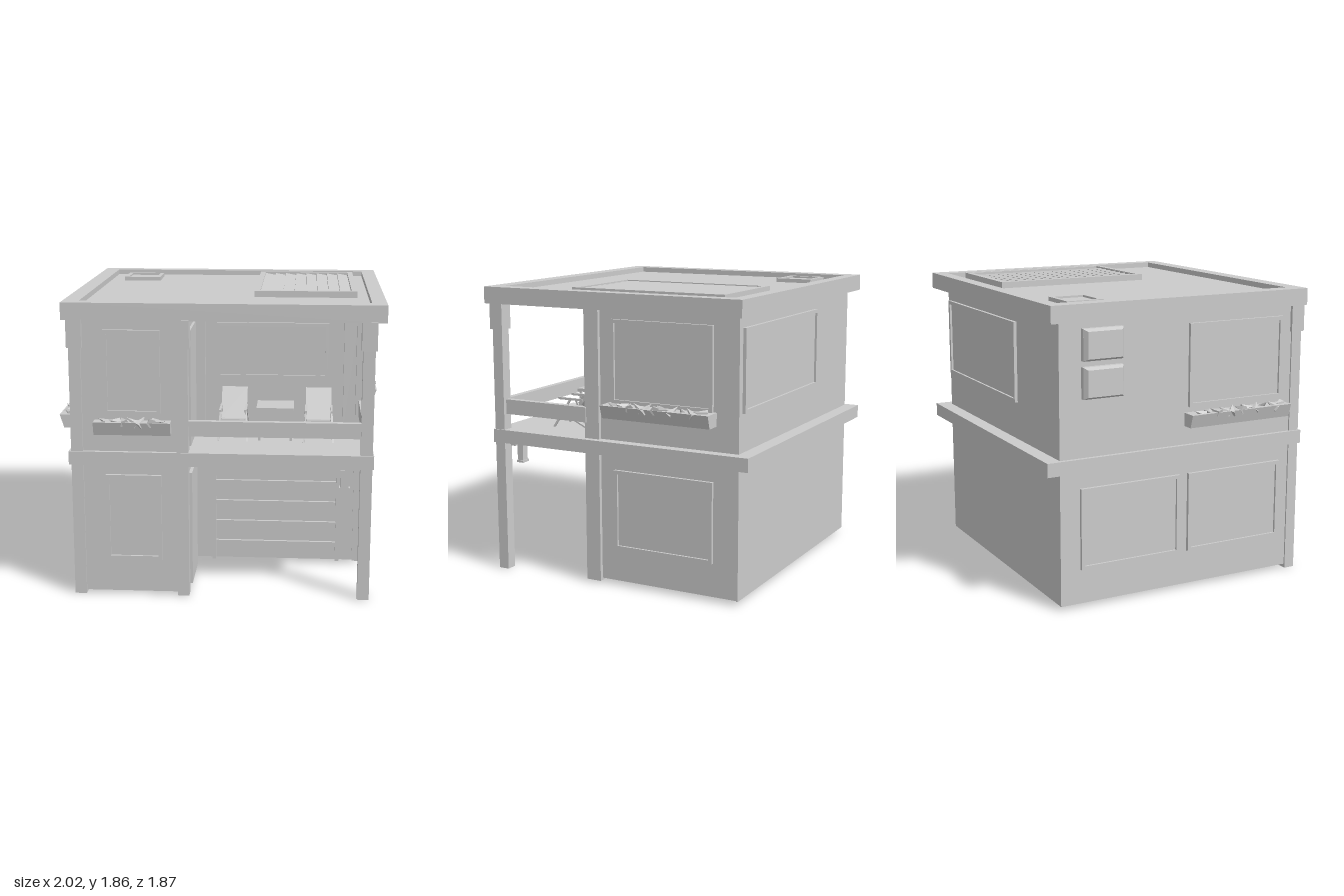
import * as THREE from 'three';

const grey = new THREE.MeshStandardMaterial({ color: 0xcccccc, flatShading: true, side: THREE.DoubleSide });

function add(parent, name, geometry) {
  const mesh = new THREE.Mesh(geometry, grey);
  mesh.name = name;
  parent.add(mesh);
  return mesh;
}

// Box given by its limits on each axis
function box(parent, name, x0, x1, y0, y1, z0, z1) {
  const mesh = add(parent, name, new THREE.BoxGeometry(x1 - x0, y1 - y0, z1 - z0));
  mesh.position.set((x0 + x1) / 2, (y0 + y1) / 2, (z0 + z1) / 2);
  return mesh;
}

// Rectangular ring in the xy plane, extruded along +z
function ring(w, h, border, depth) {
  const rect = (C, a, b) => new C([[-a, -b], [a, -b], [a, b], [-a, b]].map(p => new THREE.Vector2(...p)));
  const shape = rect(THREE.Shape, w / 2, h / 2);
  shape.holes.push(rect(THREE.Path, w / 2 - border, h / 2 - border));
  return new THREE.ExtrudeGeometry(shape, { depth, bevelEnabled: false });
}

// Group sitting on a wall, its local +z pointing outwards
function onWall(parent, name, face, wall, u, y) {
  const g = new THREE.Group();
  g.name = name;
  if (face === 'front' || face === 'back') g.position.set(u, y, wall);
  else g.position.set(wall, y, u);
  g.rotation.y = { front: 0, back: Math.PI, left: Math.PI / 2, right: -Math.PI / 2 }[face];
  parent.add(g);
  return g;
}

function addWindow(parent, face, wall, u0, u1, y0, y1) {
  const g = onWall(parent, 'window', face, wall, (u0 + u1) / 2, (y0 + y1) / 2);
  const w = u1 - u0, h = y1 - y0;
  add(g, 'windowFrame', ring(w, h, 0.023, 0.02));
  box(g, 'windowPane', -w / 2 + 0.02, w / 2 - 0.02, -h / 2 + 0.02, h / 2 - 0.02, 0, 0.006);
}

// Flower box: tapered trough with a row of faceted leaves
function addPlanter(parent, face, wall, u0, u1, y0, d) {
  const g = onWall(parent, 'flowerBox', face, wall, (u0 + u1) / 2, y0);
  const L = u1 - u0;
  const profile = new THREE.Shape([[0, 0], [d - 0.026, 0], [d, 0.083], [0, 0.083]].map(p => new THREE.Vector2(...p)));
  const trough = new THREE.ExtrudeGeometry(profile, { depth: L, bevelEnabled: false });
  trough.rotateY(-Math.PI / 2).translate(L / 2, 0, 0);
  add(g, 'trough', trough);
  const n = Math.round(L / 0.065);
  for (let i = 0; i < n; i++) {
    const leaf = add(g, 'leaf', new THREE.ConeGeometry(0.03, 0.08, 5));
    leaf.position.set((i + 0.5) / n * (L - 0.08) - L / 2 + 0.04, 0.086, d - 0.038 + 0.006 * Math.sin(i * 2.3));
    leaf.rotation.set(0, i, 1.15 * Math.sign(Math.sin(i * 1.7 + 0.6)) + 0.3 * Math.sin(i * 2.9));
  }
}

// Thin square bar between two points
function bar(parent, name, a, b, t) {
  const p = new THREE.Vector3(...a), q = new THREE.Vector3(...b);
  const mesh = add(parent, name, new THREE.BoxGeometry(t, t, p.distanceTo(q)));
  mesh.position.copy(p).add(q).multiplyScalar(0.5);
  mesh.lookAt(q);
}

// Sloping panel across x, following two (y, z) points
function panel(parent, name, w, y0, z0, y1, z1, t) {
  const mesh = add(parent, name, new THREE.BoxGeometry(w, t, Math.hypot(y1 - y0, z1 - z0)));
  mesh.position.set(0, (y0 + y1) / 2, (z0 + z1) / 2);
  mesh.rotation.x = -Math.atan2(y1 - y0, z1 - z0);
}

function addChair(parent, x) {
  const g = new THREE.Group();
  g.name = 'chair';
  panel(g, 'chairSeat', 0.15, 1.035, 0.37, 1.06, 0.52, 0.01);
  panel(g, 'chairBack', 0.165, 1.04, 0.405, 1.22, 0.267, 0.018);
  for (const s of [-0.08, 0.08]) {
    bar(g, 'frontLeg', [s, 1.12, 0.44], [s * 1.15, 0.93, 0.56], 0.012);
    bar(g, 'rearLeg', [s, 1.12, 0.4], [s * 1.15, 0.93, 0.295], 0.012);
    bar(g, 'brace', [s, 1.03, 0.51], [s * 1.1, 0.94, 0.31], 0.01);
    bar(g, 'armrest', [s, 1.12, 0.35], [s, 1.12, 0.53], 0.014);
  }
  g.position.x = x;
  parent.add(g);
}

export function createModel() {
  const house = new THREE.Group();
  house.name = 'house';

  // Outer walls, open underneath
  box(house, 'backWall', -0.9, 0.875, 0.025, 1.75, -0.84, -0.83);
  box(house, 'rightWall', -0.9, -0.89, 0.025, 1.75, -0.84, 0.84);
  box(house, 'leftWall', 0.865, 0.875, 0.03, 1.75, -0.84, 0.15);
  box(house, 'wingFrontWall', -0.9, -0.2, 0.02, 1.75, 0.83, 0.84);
  box(house, 'wingSideWall', -0.21, -0.2, 0.02, 1.75, 0.13, 0.84);
  box(house, 'garageWall', -0.57, 0.87, 0.02, 0.86, 0.1, 0.19);
  box(house, 'cornerPilaster', 0.85, 0.9, 0.015, 1.75, 0.1, 0.2);

  // Balcony wall with a shallow recess
  box(house, 'balconyWall', -0.2, 0.87, 0.9, 1.75, 0.08, 0.11);
  box(house, 'recessSide', -0.2, -0.14, 0.9, 1.75, 0.1, 0.155);
  box(house, 'recessSide', 0.77, 0.87, 0.9, 1.75, 0.1, 0.155);
  box(house, 'recessHeader', -0.14, 0.77, 1.665, 1.75, 0.1, 0.155);

  // Middle floor and roof with raised rim
  box(house, 'middleFloor', -0.925, 0.943, 0.845, 0.93, -0.93, 0.865);
  box(house, 'roofDeck', -0.94, 0.99, 1.745, 1.815, -0.9, 0.855);
  const rim = new THREE.Shape([[-0.95, -0.865], [1, -0.865], [1, 0.91], [-0.95, 0.91]].map(p => new THREE.Vector2(...p)));
  rim.holes.push(new THREE.Path([[-0.85, -0.767], [0.91, -0.767], [0.91, 0.825], [-0.85, 0.825]].map(p => new THREE.Vector2(...p))));
  const rimGeometry = new THREE.ExtrudeGeometry(rim, { depth: 0.105, bevelEnabled: false });
  add(house, 'roofRim', rimGeometry.rotateX(-Math.PI / 2)).position.y = 1.744;

  // Front posts with wider heads
  for (const x of [-0.91, -0.26, 0.862]) {
    box(house, 'post', x, x + 0.073, 0, 1.75, 0.785, 0.855);
    box(house, 'postHead', x - 0.01, x + 0.083, 1.575, 1.75, 0.777, 0.868);
  }

  // Balcony rails
  box(house, 'frontRail', -0.2, 0.865, 1.03, 1.125, 0.8, 0.84);
  box(house, 'sideRail', 0.87, 0.91, 1.03, 1.125, 0.19, 0.79);

  // Windows
  addWindow(house, 'front', 0.84, -0.7, -0.355, 1.165, 1.685);
  addWindow(house, 'front', 0.84, -0.7, -0.355, 0.235, 0.782);
  addWindow(house, 'front', 0.11, -0.065, 0.67, 1.25, 1.62);
  addWindow(house, 'left', 0.875, -0.675, 0.015, 1.165, 1.68);
  addWindow(house, 'left', 0.875, -0.675, 0, 0.24, 0.745);
  addWindow(house, 'right', -0.9, 0.03, 0.71, 1.165, 1.68);
  addWindow(house, 'right', -0.9, 0.03, 0.71, 0.24, 0.745);
  addWindow(house, 'right', -0.9, -0.71, -0.03, 0.24, 0.745);
  addWindow(house, 'back', -0.84, -0.3, 0.83, 1.165, 1.67);

  // Doors on the inner side of the wing
  box(house, 'lowerDoor', -0.21, -0.18, 0.02, 0.755, 0.335, 0.69);
  box(house, 'upperDoor', -0.21, -0.185, 0.92, 1.66, 0.335, 0.69);

  // Garage door: frame and horizontal slats
  box(house, 'garageFrameSide', -0.09, -0.065, 0.02, 0.755, 0.18, 0.23);
  box(house, 'garageFrameSide', 0.735, 0.76, 0.02, 0.755, 0.18, 0.23);
  box(house, 'garageFrameTop', -0.065, 0.735, 0.73, 0.755, 0.18, 0.23);
  for (let i = 0; i < 5; i++) {
    const y = 0.035 + i * 0.141;
    box(house, 'garageSlat', -0.065, 0.735, y, y + 0.112, 0.18, 0.21);
  }

  // Flower boxes
  addPlanter(house, 'front', 0.85, -0.76, -0.29, 1.047, 0.078);
  addPlanter(house, 'left', 0.875, -0.695, 0.035, 1.083, 0.12);
  addPlanter(house, 'right', -0.9, 0.005, 0.73, 1.047, 0.1);

  // Air conditioners with a tapered outer face
  for (const y of [1.38, 1.605]) {
    const unit = onWall(house, 'airConditioner', 'right', -0.9, -0.565, y);
    box(unit, 'airConditionerBody', -0.132, 0.132, -0.095, 0.095, 0, 0.03);
    const front = add(unit, 'airConditionerFront', new THREE.CylinderGeometry(0.6, 0.707, 0.025, 4));
    front.geometry.rotateY(Math.PI / 4).rotateX(Math.PI / 2).scale(0.264, 0.19, 1);
    front.position.z = 0.0425;
  }

  // Lantern hanging beside the corner post
  box(house, 'lanternBracket', 0.72, 0.87, 0.815, 0.85, 0.75, 0.785);
  box(house, 'lanternBody', 0.745, 0.797, 0.705, 0.815, 0.745, 0.787);
  box(house, 'lanternBase', 0.738, 0.804, 0.69, 0.705, 0.74, 0.79);

  // Balcony furniture
  addChair(house, 0.065);
  addChair(house, 0.608);
  box(house, 'tableTop', 0.215, 0.45, 1.125, 1.145, 0.32, 0.54);
  for (const x of [0.225, 0.425]) for (const z of [0.33, 0.515])
    box(house, 'tableLeg', x, x + 0.015, 0.93, 1.13, z, z + 0.015);

  // Roof light with tilted slats
  const light = ring(0.65, 1.04, 0.036, 0.045).rotateX(-Math.PI / 2);
  add(house, 'roofLightFrame', light).position.set(0.515, 1.81, -0.205);
  for (let i = 0; i < 8; i++) {
    const slat = add(house, 'roofLightSlat', new THREE.BoxGeometry(0.074, 0.008, 0.97));
    slat.position.set(0.226 + (i + 0.5) * 0.0723, 1.838, -0.205);
    slat.rotation.z = -0.18;
  }

  // Roof hatch
  const hatch = ring(0.25, 0.245, 0.027, 0.03).rotateX(-Math.PI / 2);
  add(house, 'hatchFrame', hatch).position.set(-0.63, 1.81, -0.593);
  box(house, 'hatchLid', -0.735, -0.525, 1.81, 1.828, -0.695, -0.49);

  return house;
}
